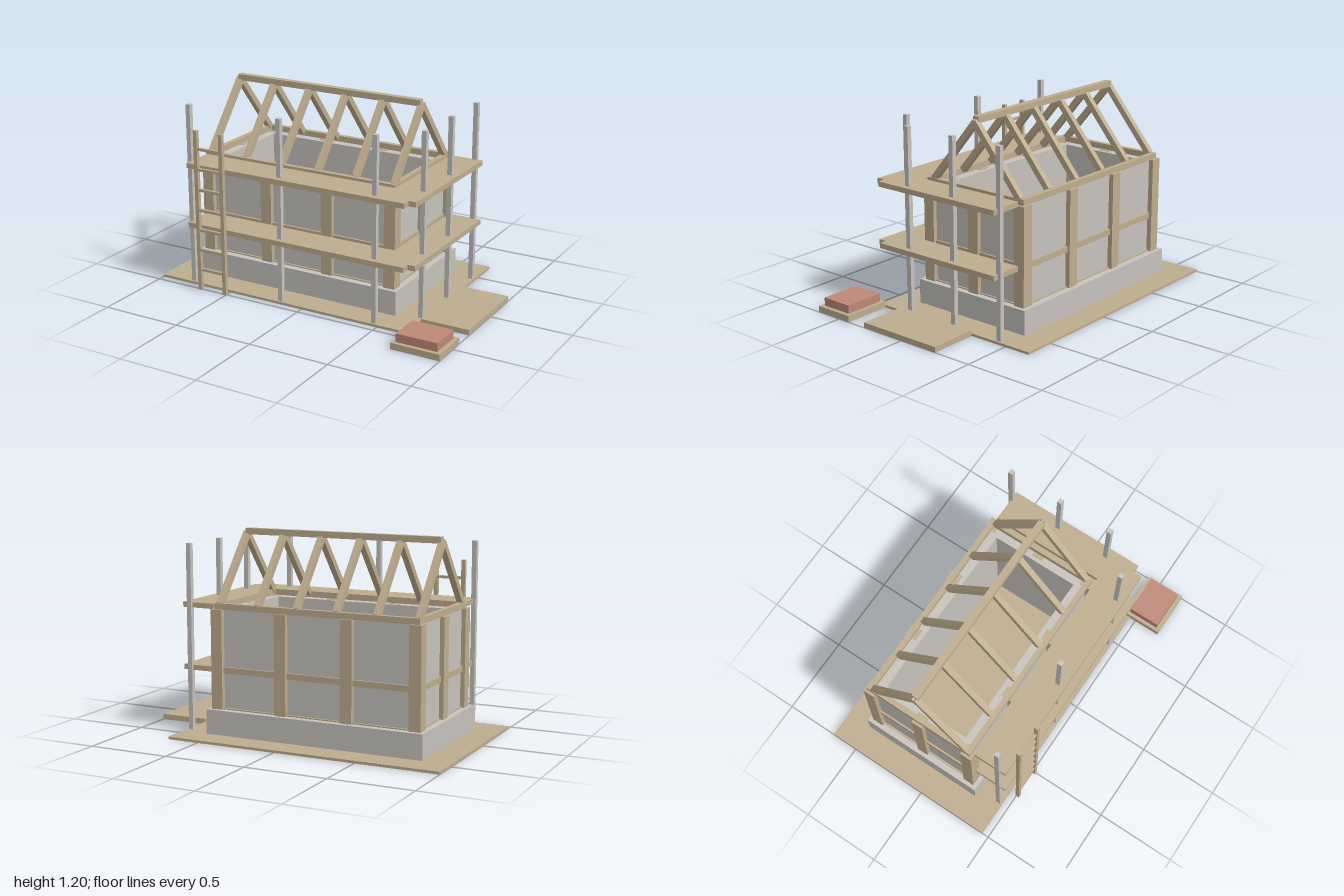
import * as THREE from 'three';

const mat = (name, color) => Object.assign(new THREE.MeshStandardMaterial({ color }), { name });

export function createModel() {
  const model = new THREE.Group();
  const wood = mat('wood', 0xbead8e);
  const concrete = mat('concrete', 0xc6c3be);
  const brick = mat('brick', 0xbe8876);

  // Box given by its minimum and maximum corners
  const box = (name, m, x0, x1, y0, y1, z0, z1, parent = model) => {
    const mesh = new THREE.Mesh(new THREE.BoxGeometry(x1 - x0, y1 - y0, z1 - z0), m);
    mesh.position.set((x0 + x1) / 2, (y0 + y1) / 2, (z0 + z1) / 2);
    mesh.name = name;
    parent.add(mesh);
  };
  const group = (name) => {
    const g = new THREE.Group();
    g.name = name;
    model.add(g);
    return g;
  };
  // Horizontal slab from plan outlines of [x, z] points; the hole runs the opposite way round
  const slab = (name, m, outline, y0, y1, hole) => {
    const pts = (list) => list.map(([x, z]) => new THREE.Vector2(x, -z));
    const shape = new THREE.Shape(pts(outline));
    if (hole) shape.holes.push(new THREE.Path(pts(hole).reverse()));
    const geo = new THREE.ExtrudeGeometry(shape, { depth: y1 - y0, bevelEnabled: false });
    geo.rotateX(-Math.PI / 2);
    const mesh = new THREE.Mesh(geo, m);
    mesh.position.y = y0;
    mesh.name = name;
    model.add(mesh);
  };

  // Centre of the house
  const cx = -0.15, cz = -0.107;
  const rect = (hx, hz) => [[cx - hx, cz - hz], [cx + hx, cz - hz], [cx + hx, cz + hz], [cx - hx, cz + hz]];

  // Ground, side platform, foundation and walls
  box('ground', wood, -1, 0.698, 0, 0.015, -0.668, 0.457);
  box('sidePlatform', wood, 0.698, 1, 0, 0.033, -0.257, 0.292);
  slab('foundation', concrete, rect(0.685, 0.4), 0.01, 0.163, rect(0.565, 0.275));
  slab('walls', concrete, rect(0.635, 0.345), 0.163, 0.752, rect(0.565, 0.275));

  // Timber posts around the walls
  const posts = group('posts');
  for (let i = 0; i < 4; i++) {
    for (let j = 0; j < 3; j++) {
      if (j === 1 && i !== 0 && i !== 3) continue;
      const x = cx + (i - 1.5) * 0.417, z = cz + (j - 1) * 0.338;
      box('post', wood, x - 0.036, x + 0.036, 0.163, 0.755, z - 0.036, z + 0.036, posts);
    }
  }

  // Sill, middle and top rails on all four sides
  const rails = group('rails');
  for (const top of [0.17, 0.415, 0.79]) {
    for (const s of [-1, 1]) {
      const z = cz + s * 0.342, x = cx + s * 0.63;
      box('longRail', wood, cx - 0.645, cx + 0.645, top - 0.036, top, z - 0.016, z + 0.016, rails);
      box('endRail', wood, x - 0.016, x + 0.016, top - 0.036, top, cz - 0.326, cz + 0.326, rails);
    }
  }

  // Roof frame: ridge and six rafter pairs
  const roof = group('roofFrame');
  box('ridge', wood, -0.777, 0.476, 1.163, 1.2, cz - 0.021, cz + 0.021, roof);
  const rise = 0.38, run = 0.316, len = Math.hypot(rise, run) + 0.015;
  for (let i = 0; i < 6; i++) {
    for (const s of [-1, 1]) {
      const rafter = new THREE.Mesh(new THREE.BoxGeometry(0.036, len, 0.036), wood);
      rafter.position.set(-0.776 + i * 0.2505, 0.787 + rise / 2, cz + s * run / 2);
      rafter.rotation.x = -s * Math.atan2(run, rise);
      rafter.name = 'rafter';
      roof.add(rafter);
    }
  }

  // Two scaffold decks along the front and the left side
  const deck = [[-0.775, 0.27], [0.515, 0.27], [0.515, -0.443], [0.722, -0.443],
    [0.722, 0.427], [0.675, 0.427], [0.675, 0.48], [-0.775, 0.48]];
  for (const y of [0.376, 0.75]) slab('scaffoldDeck', wood, deck, y, y + 0.031);

  // Scaffold poles
  const poles = group('scaffoldPoles');
  for (const [x, z] of [[-0.776, 0.432], [-0.152, 0.432], [0.473, 0.432],
    [0.672, 0.232], [0.672, -0.106], [0.672, -0.445]]) {
    box('pole', concrete, x - 0.0145, x + 0.0145, 0.01, 1.13, z - 0.0145, z + 0.0145, poles);
  }

  // Ladder
  const ladder = group('ladder');
  for (const x of [-0.678, -0.501]) box('stile', wood, x - 0.012, x + 0.012, 0.005, 1.003, 0.496, 0.52, ladder);
  for (let i = 0; i < 7; i++) {
    const y = 0.135 + i * 0.126;
    box('rung', wood, -0.668, -0.511, y - 0.008, y + 0.008, 0.499, 0.517, ladder);
  }

  // Pallet with a stack of bricks
  box('pallet', wood, 0.7, 1, 0, 0.039, 0.42, 0.668);
  box('brickStack', brick, 0.722, 0.975, 0.039, 0.09, 0.443, 0.644);

  return model;
}
